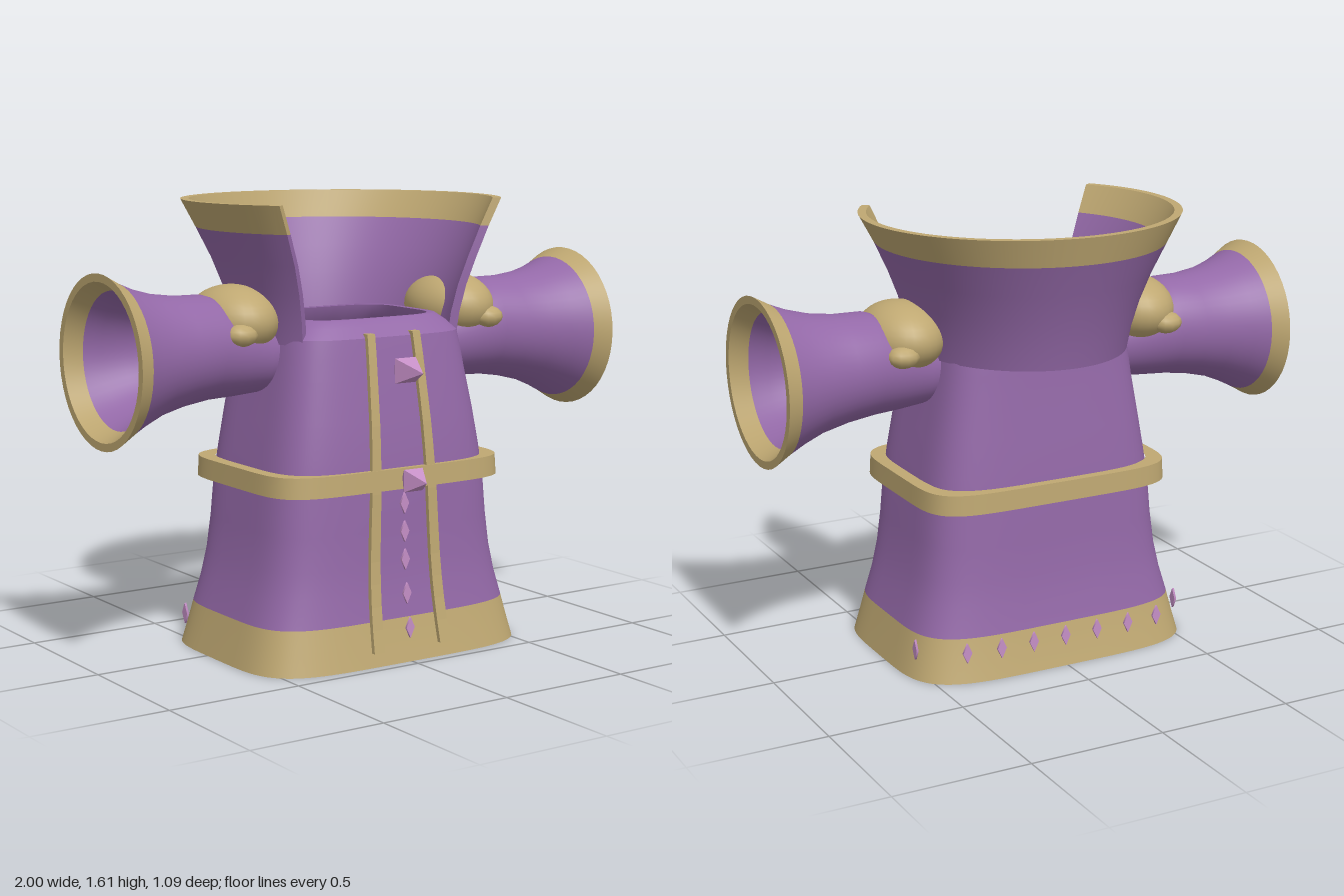
import * as THREE from 'three';

const purple = new THREE.MeshStandardMaterial({ color: 0x9469a8 });
purple.name = 'purple cloth';
const gold = new THREE.MeshStandardMaterial({ color: 0xbfa872 });
gold.name = 'gold trim';
const pink = new THREE.MeshStandardMaterial({ color: 0xc58fc6 });
pink.name = 'pink gem';

// Skin a list of rows of points; rows x columns gives the outward side
function loft(rows, closed = true, flat = false) {
  const n = rows[0].length, pos = [], idx = [];
  rows.forEach(r => r.forEach(p => pos.push(...p)));
  for (let i = 0; i < rows.length - 1; i++) {
    for (let j = 0; j < (closed ? n : n - 1); j++) {
      const a = i * n + j, b = i * n + (j + 1) % n, c = b + n, d = a + n;
      idx.push(a, d, b, b, d, c);
    }
  }
  let g = new THREE.BufferGeometry();
  g.setAttribute('position', new THREE.Float32BufferAttribute(pos, 3));
  g.setIndex(idx);
  if (flat) g = g.toNonIndexed();
  g.computeVertexNormals();
  return g;
}

// Linear lookup in a table keyed by its first column
function lookup(table, k) {
  let i = 0;
  while (i < table.length - 2 && k > table[i + 1][0]) i++;
  const a = table[i], b = table[i + 1], t = (k - a[0]) / (b[0] - a[0]);
  return a.map((v, c) => v + (b[c] - v) * t);
}

// Rounded-rectangle ring
function squareRing([y, hw, zf, zb], inset = 0, power = 4.5, n = 96) {
  const f = v => Math.sign(v) * Math.abs(v) ** (2 / power);
  return Array.from({ length: n }, (_, j) => {
    const t = j / n * Math.PI * 2;
    return [(hw - inset) * f(Math.cos(t)), y, (zf + zb) / 2 + ((zf - zb) / 2 - inset) * f(Math.sin(t))];
  });
}

// Robe outline: height, half width, front z, back z
const robe = [
  [0, 0.565, 0.465, -0.35], [0.08, 0.545, 0.447, -0.33], [0.155, 0.527, 0.432, -0.315],
  [0.25, 0.5, 0.417, -0.298], [0.35, 0.478, 0.408, -0.287], [0.47, 0.462, 0.403, -0.28],
  [0.6, 0.45, 0.4, -0.276], [0.72, 0.432, 0.392, -0.268], [0.85, 0.41, 0.378, -0.257],
  [1, 0.383, 0.355, -0.243], [1.08, 0.371, 0.343, -0.238], [1.14, 0.36, 0.332, -0.233],
];
// Collar outline: height, x radius, z radius, centre z
const collar = [
  [1.12, 0.385, 0.435, 0.045], [1.2, 0.397, 0.448, 0.04], [1.3, 0.425, 0.472, 0.035],
  [1.4, 0.466, 0.502, 0.03], [1.51, 0.522, 0.535, 0.02], [1.61, 0.58, 0.56, 0.015],
];
// Sleeve outline: distance out, centre y, radius, centre z
const sleeve = [
  [0.33, 1.08, 0.12, 0.05], [0.4, 1.083, 0.14, 0.05], [0.5, 1.1, 0.165, 0.045], [0.6, 1.113, 0.183, 0.04],
  [0.7, 1.106, 0.191, 0.042], [0.8, 1.1, 0.21, 0.046], [0.88, 1.094, 0.238, 0.05],
  [0.94, 1.091, 0.266, 0.053], [1, 1.09, 0.3, 0.055],
];

export function createModel() {
  const model = new THREE.Group();
  const add = (name, geo, mat, parent = model) => {
    const m = new THREE.Mesh(geo, mat);
    m.name = name;
    parent.add(m);
    return m;
  };

  // Robe body: hem, outer cloth, shoulders and lining
  const outer = robe.map(r => squareRing(r));
  const inner = robe.map(r => squareRing(r, 0.025));
  add('hemOutside', loft(outer.slice(0, 3)), gold);
  add('hemInside', loft(inner.slice(0, 3).reverse()), gold);
  add('hemEdge', loft([inner[0], outer[0]]), gold);
  add('robeCloth', loft(outer.slice(2)), purple);
  const neck = squareRing([1.2, 0.265, 0.25, -0.145]);
  add('shoulders', loft([outer[11], squareRing([1.175, 0.325, 0.3, -0.2]), squareRing([1.2, 0.29, 0.275, -0.175]), neck]), purple);
  add('neckLining', loft([neck, squareRing([1.15, 0.275, 0.255, -0.16]), inner[10]]), purple);
  add('robeLining', loft(inner.slice(2, 11).reverse()), purple);

  // Belt
  const beltOut = [[0.612, 0.488, 0.417, -0.308], [0.685, 0.485, 0.412, -0.305]];
  const [b0, b1] = beltOut.map(r => squareRing(r, 0, 5.5));
  const [c0, c1] = beltOut.map(r => squareRing(r, 0.05, 5.5));
  [[b0, b1], [b1, c1], [c0, b0]].forEach(rows => add('belt', loft(rows), gold));

  // Two trim strips down the front
  for (const s of [-1, 1]) {
    const rows = [];
    for (let k = 0; k <= 14; k++) {
      const y = 0.05 + k * 1.105 / 14, t = k / 14;
      const x = s * (0.142 - 0.046 * t), w = 0.022 - 0.006 * t, z = lookup(robe, y)[2];
      const row = [[x + w, y, z + 0.016], [x - w, y, z + 0.016], [x - w, y, z - 0.02], [x + w, y, z - 0.02]];
      const cap = row.map(() => [x, y, z]);
      if (k === 0) rows.push(cap);
      rows.push(row);
      if (k === 14) rows.push(cap);
    }
    add('frontStrip', loft(rows, true, true), gold);
  }

  // High collar, open at the front
  const collarRing = ([y, rx, rz, cz], inset) => Array.from({ length: 65 }, (_, j) => {
    const gap = THREE.MathUtils.degToRad(59 - 5 * (y - 1.12) / 0.49);
    const t = Math.PI / 2 + gap + j / 64 * (Math.PI * 2 - 2 * gap);
    return [(rx - inset) * Math.cos(t), y, cz + (rz - inset) * Math.sin(t)];
  });
  const cOut = collar.map(r => collarRing(r, 0));
  const cIn = collar.map(r => collarRing(r, 0.03));
  add('collarOutside', loft(cOut.slice(0, 5), false), purple);
  add('collarLining', loft(cIn.slice(0, 5).reverse(), false), purple);
  add('collarBottom', loft([cIn[0], cOut[0]], false), purple);
  add('collarBandOutside', loft(cOut.slice(4), false), gold);
  add('collarBandInside', loft(cIn.slice(4).reverse(), false), gold);
  add('collarRim', loft([cOut[5], cIn[5]], false), gold);
  for (const [from, to, mat] of [[0, 5, purple], [4, 6, gold]]) {
    const start = [], end = [];
    for (let i = from; i < to; i++) {
      start.push([cIn[i][0], cOut[i][0]]);
      end.push([cOut[i][64], cIn[i][64]]);
    }
    add('collarFrontEdge', loft(start, false), mat);
    add('collarFrontEdge', loft(end, false), mat);
  }

  // Flared sleeves with shoulder pads
  for (const s of [-1, 1]) {
    const arm = new THREE.Group();
    arm.name = s > 0 ? 'leftSleeve' : 'rightSleeve';
    model.add(arm);
    const ring = ([x, cy, r, cz], inset) => Array.from({ length: 48 }, (_, j) => {
      const t = j / 48 * Math.PI * 2;
      return [s * x, cy + (r - inset) * Math.cos(t), cz - s * (r - inset) * Math.sin(t)];
    });
    const so = sleeve.map(r => ring(r, 0)), si = sleeve.map(r => ring(r, 0.028));
    add('sleeveCloth', loft(so.slice(0, 8)), purple, arm);
    add('sleeveLining', loft(si.slice(0, 8).reverse()), purple, arm);
    add('cuffOutside', loft(so.slice(7)), gold, arm);
    add('cuffInside', loft(si.slice(7).reverse()), gold, arm);
    add('cuffRim', loft([so[8], si[8]]), gold, arm);
    const pad = add('shoulderPad', new THREE.SphereGeometry(1, 32, 20), gold, arm);
    pad.scale.set(0.15, 0.125, 0.195);
    pad.position.set(s * 0.47, 1.2, 0.035);
    for (const z of [-0.125, 0.195]) {
      const lobe = add('padLobe', new THREE.SphereGeometry(1, 12, 8), gold, arm);
      lobe.scale.set(0.06, 0.04, 0.05);
      lobe.position.set(s * 0.53, 1.165, z);
    }
  }

  // Two pointed gems: height, widest z, half size, front length, back length
  for (const [y, z, h, front, back] of [[1.03, 0.415, 0.044, 0.105, 0.065], [0.65, 0.465, 0.04, 0.08, 0.065]]) {
    for (const [dir, len] of [[1, front], [-1, back]]) {
      let g = new THREE.ConeGeometry(h * Math.SQRT2, len, 4, 1, true);
      g.rotateY(Math.PI / 4).translate(0, len / 2, 0).rotateX(dir * Math.PI / 2);
      g = g.toNonIndexed();
      g.computeVertexNormals();
      add('gem', g, pink).position.set(0, y, z);
    }
  }

  // Small lozenge ornaments on the front and round the hem
  const lozenge = (x, y, z, turn) => {
    const g = new THREE.CylinderGeometry(1, 1, 0.008, 4).rotateX(Math.PI / 2);
    g.scale(0.018, 0.038, 1);
    const m = add('ornament', g, pink);
    m.position.set(x, y, z);
    m.rotation.y = turn;
  };
  for (const y of [0.12, 0.24, 0.36, 0.46, 0.56]) lozenge(0, y, lookup(robe, y)[2] + 0.012, 0);
  for (let i = -3; i <= 3; i++) lozenge(i * 0.13, 0.11, Math.abs(i) === 3 ? -0.318 : -0.332, Math.PI);
  for (const s of [-1, 1]) lozenge(s * 0.537, 0.11, -0.2, s * Math.PI / 2);

  return model;
}
